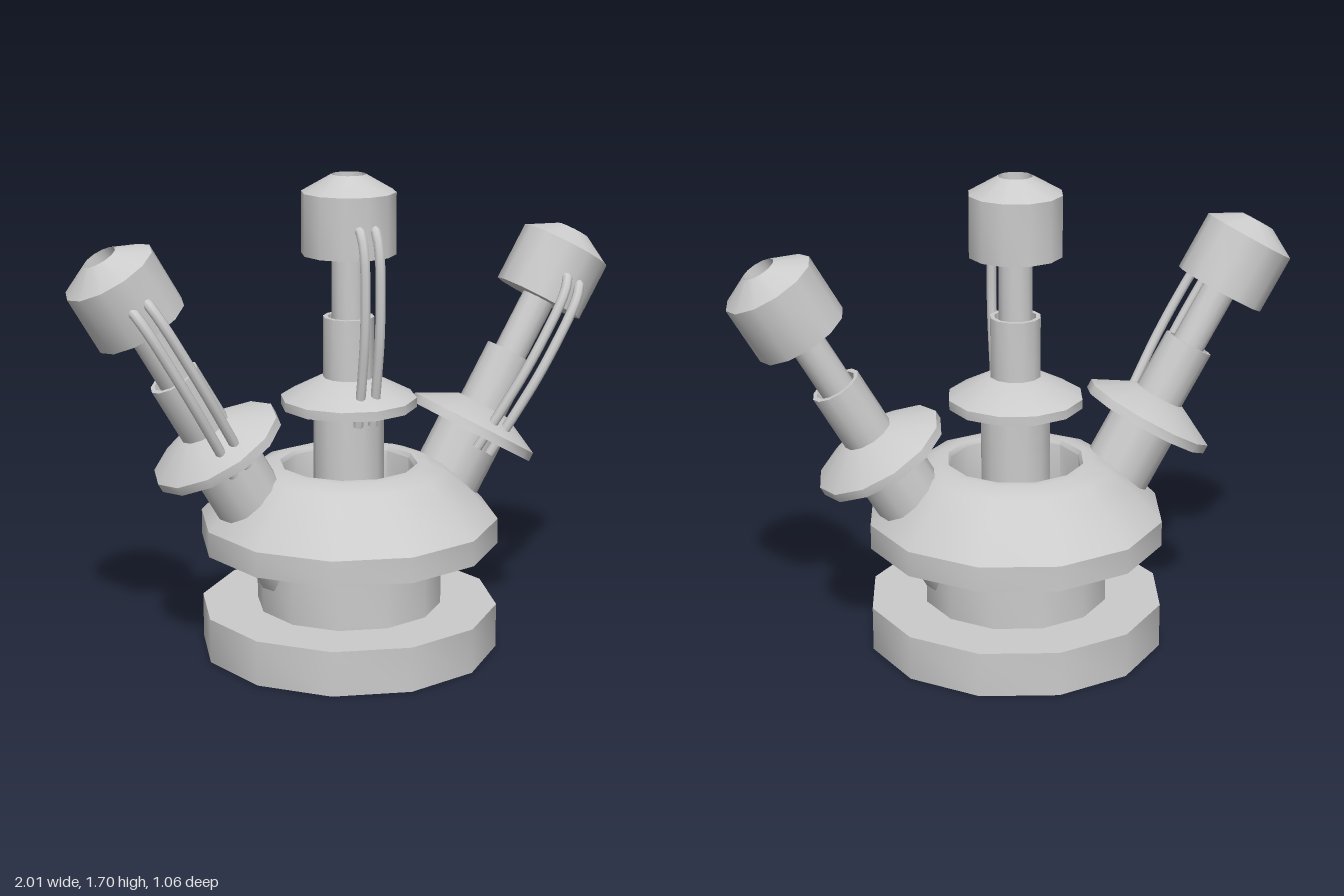
import * as THREE from 'three';
import { toCreasedNormals } from 'three/addons/utils/BufferGeometryUtils.js';

const SIDES = 12;
const material = new THREE.MeshStandardMaterial({ color: 0xcccccc });
const cableMaterial = new THREE.MeshStandardMaterial({ color: 0xcccccc, side: THREE.DoubleSide });

// Turned part from a profile of [radius, y] pairs, listed from the bottom up
function turned(name, profile) {
  const lathe = new THREE.LatheGeometry(profile.map(([r, y]) => new THREE.Vector2(r, y)), SIDES);
  const mesh = new THREE.Mesh(toCreasedNormals(lathe, 0.6), material);
  mesh.name = name;
  return mesh;
}

function cylinder(name, r, y0, y1) {
  return turned(name, [[0, y0], [r, y0], [r, y1], [0, y1]]);
}

// Cable arcing from the head's front down through the flange
function cable(x) {
  const path = [
    [1.53, 0.13], [1.515, 0.165], [1.45, 0.193], [1.3, 0.203],
    [1.15, 0.197], [1.02, 0.178], [0.92, 0.16], [0.84, 0.145],
  ].map(([y, z]) => new THREE.Vector3(x, y, z));
  const curve = new THREE.CatmullRomCurve3(path);
  const mesh = new THREE.Mesh(new THREE.TubeGeometry(curve, 20, 0.018, 8), cableMaterial);
  mesh.name = 'cable';
  return mesh;
}

// One complete arm, modelled upright
function createArm(name, stemBottom) {
  const arm = new THREE.Group();
  arm.name = name;
  arm.add(
    cylinder('stem', 0.125, stemBottom, 0.89),
    turned('flange', [[0, 0.88], [0.24, 0.88], [0.24, 0.913], [0.1, 0.985], [0, 0.985]]),
    // collar with a recess around the rod
    turned('collar', [[0, 0.9], [0.09, 0.9], [0.09, 1.2], [0.074, 1.2], [0.074, 1.14], [0, 1.14]]),
    cylinder('rod', 0.06, 1.1, 1.45),
    // head with a bevelled cap and a socket in its top
    turned('head', [[0, 1.42], [0.165, 1.42], [0.165, 1.635], [0.06, 1.695], [0.06, 1.63], [0, 1.63]]),
    cable(-0.028),
    cable(0.028),
  );
  return arm;
}

export function createModel() {
  const model = new THREE.Group();
  model.name = 'threeArmedDevice';

  // Pedestal
  model.add(
    cylinder('base', 0.53, 0, 0.16),
    cylinder('neck', 0.33, 0.15, 0.4),
    // dome with an open well in the middle
    turned('dome', [
      [0, 0.39], [0.53, 0.39], [0.53, 0.48], [0.4, 0.61], [0.345, 0.652],
      [0.28, 0.675], [0.245, 0.675], [0.235, 0.66], [0.235, 0.45], [0, 0.45],
    ]),
  );

  // Arms: one upright, two leaning out by 30 degrees
  model.add(createArm('centreArm', 0.42));
  const lean = Math.PI / 6;
  for (const [name, side, x, y] of [['leftArm', 1, 0.48, 0.733], ['rightArm', -1, -0.485, 0.767]]) {
    const arm = createArm(name, 0.16);
    arm.rotation.z = -side * lean;
    // place the flange's underside at (x, y)
    arm.position.set(x - side * 0.88 * Math.sin(lean), y - 0.88 * Math.cos(lean), 0);
    model.add(arm);
  }
  return model;
}
